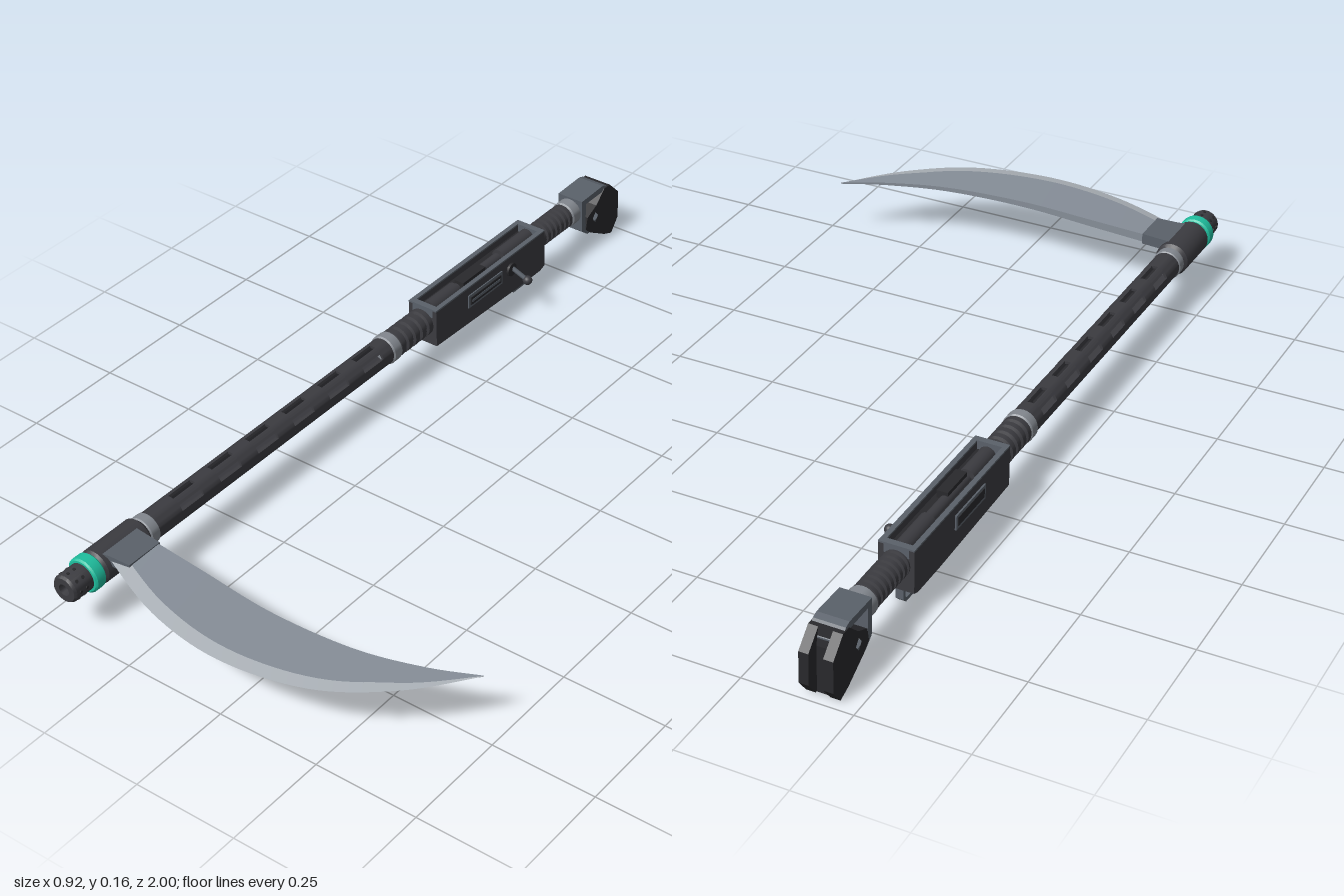
import * as THREE from 'three';
import { toCreasedNormals, mergeGeometries } from 'three/addons/utils/BufferGeometryUtils.js';

const AX = -0.418, AY = 0.121; // shaft axis
const mat = (name, color) => Object.assign(new THREE.MeshStandardMaterial({ color }), { name });

export function createModel() {
  const root = new THREE.Group();
  root.name = 'mechanicalScythe';
  const dark = mat('darkMetal', 0x3b3b40);
  const black = mat('blackRubber', 0x29292c);
  const slate = mat('slateMetal', 0x5a616a);
  const silver = mat('ringSteel', 0x82878e);
  const teal = mat('tealGlow', 0x1fbf9f);
  const steel = mat('bladeSteel', 0x868e98);
  const edgeSteel = mat('bladeEdge', 0xaab0b6);

  const add = (name, geo, m, x = 0, y = 0, z = 0) => {
    const mesh = new THREE.Mesh(geo, m);
    mesh.name = name;
    mesh.position.set(x, y, z);
    root.add(mesh);
    return mesh;
  };
  const box = (name, m, x0, x1, y0, y1, z0, z1) => add(name,
    new THREE.BoxGeometry(x1 - x0, y1 - y0, z1 - z0), m, (x0 + x1) / 2, (y0 + y1) / 2, (z0 + z1) / 2);
  // Turned part about the shaft axis; profile points are [z, radius], z rising
  const turned = (name, m, pts, seg = 24) => {
    const g = new THREE.LatheGeometry(pts.map(([z, r]) => new THREE.Vector2(r, z)), seg);
    return add(name, toCreasedNormals(g.rotateX(Math.PI / 2), 0.6), m, AX, AY, 0);
  };
  const ring = (name, m, z0, z1, r, c = 0.004) =>
    turned(name, m, [[z0, 0], [z0, r - c], [z0 + c, r], [z1 - c, r], [z1, r - c], [z1, 0]]);
  // Plate with a side profile [z, y], extruded across x
  const path = (pts, P) => new P(pts.map(([z, y]) => new THREE.Vector2(-z, y)));
  const plate = (name, m, pts, x0, x1, holes = []) => {
    const s = path(pts, THREE.Shape);
    s.holes = holes.map(h => path(h, THREE.Path));
    const g = new THREE.ExtrudeGeometry(s, { depth: x1 - x0, bevelEnabled: false });
    return add(name, g.rotateY(Math.PI / 2), m, x0, 0, 0);
  };

  // Muzzle, glowing ring and blade head
  turned('muzzle', dark, [[0.93, 0], [0.93, 0.033], [0.994, 0.033], [1, 0.029], [1, 0.014], [0.985, 0.012], [0.985, 0]]);
  for (let i = 0; i < 8; i++) {
    const a = i * Math.PI / 4;
    for (const z of [0.965, 0.983]) {
      const vent = add('muzzleVent', new THREE.CylinderGeometry(0.004, 0.004, 0.004, 8), black,
        AX + 0.032 * Math.cos(a), AY + 0.032 * Math.sin(a), z);
      vent.rotation.z = a - Math.PI / 2;
    }
  }
  ring('glowRing', teal, 0.914, 0.945, 0.042);
  ring('bladeHead', dark, 0.765, 0.916, 0.041, 0.01);
  ring('frontRing', silver, 0.738, 0.768, 0.036);

  // Hollow shaft with rows of slots along its upper half
  const arc = (d0, d1, z0, z1) => {
    const s = new THREE.Shape(), a = d0 * Math.PI / 180, b = d1 * Math.PI / 180;
    s.absarc(0, 0, 0.0335, a, b, false);
    s.absarc(0, 0, 0.027, b, a, true);
    const g = new THREE.ExtrudeGeometry(s, { depth: z1 - z0, bevelEnabled: false, curveSegments: 12 });
    return g.translate(0, 0, z0);
  };
  const pieces = [];
  let end = 0.745;
  for (let i = 0; i < 6; i++) {
    const c = 0.631 - 0.126 * i;
    pieces.push(arc(0, 180, c + 0.035, end), arc(180, 360, c + 0.035, end));
    for (const [a, b] of [[43, 77], [103, 137], [163, 377]]) pieces.push(arc(a, b, c - 0.035, c + 0.035));
    end = c - 0.035;
  }
  pieces.push(arc(0, 180, -0.08, end), arc(180, 360, -0.08, end));
  add('slottedShaft', toCreasedNormals(mergeGeometries(pieces), 0.6), dark, AX, AY, 0);
  ring('middleRing', silver, -0.102, -0.07, 0.037);

  // Ribbed necks either side of the receiver
  const ribbed = (name, z0, z1, n, r) => {
    const pts = [[z0, 0]], step = (z1 - z0) / n;
    for (let i = 0; i < n; i++) {
      const z = z0 + i * step;
      pts.push([z, r - 0.007], [z + step * 0.25, r - 0.007], [z + step * 0.35, r], [z + step * 0.9, r], [z + step, r - 0.007]);
    }
    turned(name, dark, [...pts, [z1, 0]]);
  };
  ribbed('frontRibs', -0.23, -0.1, 5, 0.035);
  ribbed('rearRibs', -0.81, -0.66, 8, 0.032);
  ring('rearRing', silver, -0.84, -0.805, 0.034);

  // Receiver with an open trough on top
  plate('receiverBody', dark, [[-0.225, 0.064], [-0.225, 0.14], [-0.668, 0.14], [-0.668, 0.06], [-0.65, 0.054], [-0.55, 0.054]],
    AX - 0.041, AX + 0.041);
  for (const s of [-1, 1]) {
    const c = AX + s * 0.035;
    box('receiverWall', dark, c - 0.006, c + 0.006, 0.14, 0.16, -0.668, -0.225);
    box('receiverRim', slate, c - 0.006, c + 0.006, 0.16, 0.164, -0.668, -0.225);
    // side window: frame and slot
    const x = AX + s * 0.041;
    box('windowFrame', slate, x - 0.004, x + 0.003, 0.105, 0.14, -0.487, -0.35);
    box('windowSlot', black, x - 0.005, x + 0.005, 0.112, 0.133, -0.48, -0.357);
    box('windowBar', slate, x - 0.004, x + 0.006, 0.119, 0.126, -0.475, -0.362);
  }
  for (const z of [-0.66, -0.233]) box('receiverEnd', slate, AX - 0.03, AX + 0.03, 0.14, 0.164, z - 0.008, z + 0.008);
  box('troughFloor', black, AX - 0.029, AX + 0.029, 0.139, 0.143, -0.652, -0.241);
  for (const [z, len, r] of [[-0.59, 0.12, 0.019], [-0.44, 0.17, 0.013], [-0.3, 0.1, 0.02]]) {
    const g = new THREE.CylinderGeometry(r, r, len, 16).rotateX(Math.PI / 2);
    add('boltSegment', g, dark, AX, 0.142, z);
  }
  box('boltLug', black, AX - 0.006, AX + 0.02, 0.145, 0.163, -0.45, -0.36);

  // Bolt handle on the left side
  const from = new THREE.Vector3(-0.385, 0.135, -0.525), to = new THREE.Vector3(-0.337, 0.1, -0.54);
  add('boltHandle', new THREE.TubeGeometry(new THREE.LineCurve3(from, to), 2, 0.006, 10), slate);
  add('boltKnob', new THREE.SphereGeometry(0.012, 16, 12), dark, to.x, to.y, to.z);
  add('boltSocket', new THREE.CylinderGeometry(0.017, 0.017, 0.008, 16).rotateZ(Math.PI / 2), black, AX + 0.043, 0.125, -0.525);

  // Trigger and its guard
  plate('triggerGuard', slate,
    [[-0.57, 0.06], [-0.57, 0.024], [-0.582, 0.013], [-0.64, 0.013], [-0.652, 0.024], [-0.652, 0.06]],
    AX - 0.009, AX + 0.009, [[[-0.579, 0.052], [-0.643, 0.052], [-0.643, 0.027], [-0.637, 0.022], [-0.586, 0.022], [-0.579, 0.027]]]);
  plate('trigger', dark, [[-0.6, 0.06], [-0.607, 0.03], [-0.613, 0.03], [-0.614, 0.06]], AX - 0.004, AX + 0.004);

  // End stock: slate loop and grooved dark butt
  plate('stockLoop', slate,
    [[-0.838, 0.158], [-0.84, 0.07], [-0.865, 0.05], [-0.96, 0.05], [-0.965, 0.13], [-0.945, 0.155], [-0.93, 0.16]],
    AX - 0.036, AX + 0.036, [[[-0.856, 0.143], [-0.935, 0.143], [-0.95, 0.125], [-0.95, 0.075], [-0.87, 0.075], [-0.856, 0.085]]]);
  const butt = [[-0.855, 0.068], [-0.862, 0.1], [-0.9, 0.118], [-0.935, 0.15], [-0.96, 0.15], [-1, 0.11],
    [-1, 0.035], [-0.972, 0], [-0.94, 0.012], [-0.875, 0.05]];
  const hole = [[-0.885, 0.085], [-0.897, 0.1], [-0.909, 0.085], [-0.897, 0.07]];
  plate('buttCore', black, butt.map(([z, y]) => [Math.max(z, -0.968), y]), AX - 0.016, AX + 0.016, [hole]);
  plate('buttSideRight', black, butt, AX - 0.038, AX - 0.016, [hole]);
  plate('buttSideLeft', black, butt, AX + 0.016, AX + 0.038, [hole]);

  // Curved blade: flat body plus bevelled cutting edge, swept between two outlines
  const xs = [-0.4, -0.2, 0, 0.2, 0.35, 0.46];
  const outline = zs => new THREE.SplineCurve(xs.map((x, i) => new THREE.Vector2(x, zs[i])));
  const inner = outline([0.795, 0.812, 0.828, 0.815, 0.773, 0.722]);
  const outer = outline([0.885, 0.967, 0.996, 0.957, 0.855, 0.723]);
  const N = 40, sections = [];
  for (let i = 0; i <= N; i++) {
    const t = i / N, a = inner.getPoint(t), b = outer.getPoint(t);
    const h = 0.011 - 0.0095 * t, y = 0.146 - 0.003 * t;
    const bevel = b.y - Math.min(0.032, 0.3 * (b.y - a.y));
    sections.push([[a.y, y + h], [bevel, y + h * 0.8], [b.y, y], [bevel, y - h * 0.8], [a.y, y - h]]
      .map(([z, yy]) => [a.x, yy, z]));
  }
  const strips = sides => {
    const v = [];
    for (const k of sides) for (let i = 0; i < N; i++) {
      const n = (k + 1) % 5, p = sections[i], q = sections[i + 1];
      v.push(...p[k], ...p[n], ...q[n], ...p[k], ...q[n], ...q[k]);
    }
    const g = new THREE.BufferGeometry();
    g.setAttribute('position', new THREE.Float32BufferAttribute(v, 3));
    return toCreasedNormals(g, 0.3);
  };
  add('bladeBody', strips([0, 3, 4]), steel);
  add('bladeEdge', strips([1, 2]), edgeSteel);

  // Clamp gripping the blade root
  const clamp = new THREE.Shape([[-0.41, -0.9], [-0.385, -0.894], [-0.33, -0.892], [-0.33, -0.798], [-0.41, -0.79]]
    .map(p => new THREE.Vector2(...p)));
  const clampGeo = new THREE.ExtrudeGeometry(clamp, { depth: 0.026, bevelEnabled: false }).rotateX(-Math.PI / 2);
  add('bladeClamp', clampGeo, slate, 0, 0.132, 0);

  return root;
}
